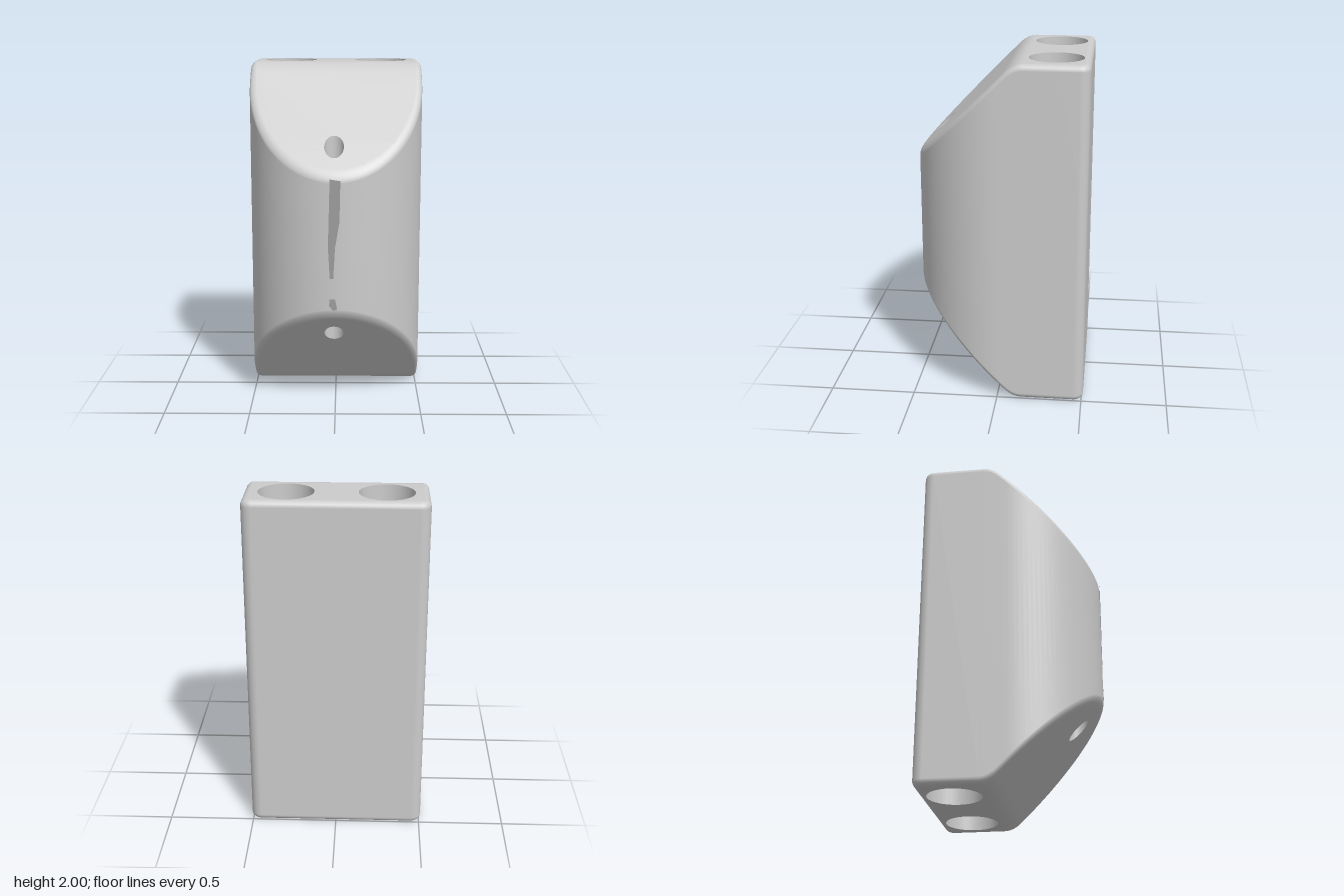
import * as THREE from 'three';
import { mergeVertices } from 'three/addons/utils/BufferGeometryUtils.js';

const R = 0.51;        // half width and front arc radius
const EDGE = 0.036;    // rounding of the end edges
const CORNER = 0.06;   // rounding of the rear vertical corners
const BEND = -0.09;    // z where the flat ends turn into 45 degree slopes
const SOFT = 0.05;     // half width of the softened bend
const BANDS = [-2, -1, 0, 1, 2].map(i => BEND + i * SOFT / 2);

// how far the end face has dropped at depth z
function drop(z) {
  const u = z - BEND;
  if (u <= -SOFT) return 0;
  return u >= SOFT ? u : (u + SOFT) ** 2 / (4 * SOFT);
}

// D-shaped outline in x, z, inset by d
function outline(d) {
  const pts = [], add = (x, z) => pts.push(new THREE.Vector2(x, z));
  const w = R - d, c = CORNER - d, k = R - CORNER;
  for (let i = 0; i <= 56; i++) {
    const a = Math.PI * i / 56;
    add(w * Math.cos(a), w * Math.sin(a));
  }
  [...BANDS].reverse().forEach(z => add(-w, z));
  for (const [sx, a0] of [[-1, Math.PI], [1, 1.5 * Math.PI]]) {
    for (let i = 0; i <= 6; i++) {
      const a = a0 + Math.PI / 2 * i / 6;
      add(sx * k + c * Math.cos(a), -k + c * Math.sin(a));
    }
  }
  BANDS.forEach(z => add(w, z));
  return pts;
}

function circle({ x, z, r }, n = 40) {
  return Array.from({ length: n }, (_, i) => {
    const a = 2 * Math.PI * i / n;
    return new THREE.Vector2(x + r * Math.cos(a), z + r * Math.sin(a));
  });
}

function toGeometry(positions) {
  let g = new THREE.BufferGeometry();
  g.setAttribute('position', new THREE.Float32BufferAttribute(positions, 3));
  g = mergeVertices(g, 1e-4);
  g.computeVertexNormals();
  return g;
}

function bodyGeometry(bigHoles, smallHole) {
  const out = [];
  const tri = (...v) => v.forEach(p => out.push(...p));
  const quad = (a, b, c, d) => { tri(a, b, c); tri(a, c, d); };

  // rings from the bottom edge rounding, up the wall, to the top edge rounding
  const steps = [0, 1, 2, 3, 4, 5].map(i => i / 5 * Math.PI / 2);
  const ring = (t, top) => outline(EDGE * (1 - Math.cos(t))).map(p => {
    const y = drop(p.y) + EDGE * (1 - Math.sin(t));
    return [p.x, top ? 2 - y : y, p.y];
  });
  const rings = [
    ...[...steps].reverse().map(t => ring(t, false)),
    ...steps.map(t => ring(t, true)),
  ];
  rings.sort((a, b) => a[0][1] - b[0][1]);
  for (let k = 0; k < rings.length - 1; k++) {
    const lo = rings[k], hi = rings[k + 1], n = lo.length;
    for (let i = 0; i < n; i++) {
      const j = (i + 1) % n;
      quad(lo[i], hi[i], hi[j], lo[j]);
    }
  }

  // end faces: pierced flat, softened bend, pierced slope
  const face = (contour, holes) => {
    const all = [contour, ...holes].flat();
    for (const f of THREE.ShapeUtils.triangulateShape(contour, holes)) {
      let [a, b, c] = f.map(i => all[i]);
      if ((b.x - a.x) * (c.y - a.y) - (b.y - a.y) * (c.x - a.x) > 0) [b, c] = [c, b];
      tri(...[a, b, c].map(p => [p.x, 2 - drop(p.y), p.y]));
      tri(...[a, c, b].map(p => [p.x, drop(p.y), p.y]));
    }
  };
  const inner = outline(EDGE), w = R - EDGE;
  face(inner.filter(p => p.y <= BANDS[0] + 1e-5), bigHoles.map(h => circle(h)));
  face(inner.filter(p => p.y >= BANDS[4] - 1e-5), [circle(smallHole)]);
  for (let i = 0; i < 4; i++) {
    const [z0, z1] = [BANDS[i], BANDS[i + 1]];
    face([[-w, z0], [w, z0], [w, z1], [-w, z1]].map(p => new THREE.Vector2(...p)), []);
  }
  return toGeometry(out);
}

// inner wall of a vertical through hole, cut to the end faces
function holeGeometry(hole) {
  const out = [], pts = circle(hole);
  pts.forEach((p, i) => {
    const q = pts[(i + 1) % pts.length];
    const a = [p.x, drop(p.y), p.y], b = [q.x, drop(q.y), q.y];
    const c = [q.x, 2 - drop(q.y), q.y], d = [p.x, 2 - drop(p.y), p.y];
    out.push(...a, ...b, ...c, ...a, ...c, ...d);
  });
  return toGeometry(out);
}

export function createModel() {
  const group = new THREE.Group();
  const grey = new THREE.MeshStandardMaterial({ color: 0xcccccc });
  grey.name = 'light grey';
  const dark = new THREE.MeshStandardMaterial({ color: 0x9e9e9e });
  dark.name = 'streak grey';
  const add = (name, geometry, material) => {
    const m = new THREE.Mesh(geometry, material);
    m.name = name;
    group.add(m);
    return m;
  };

  const bigHoles = [-1, 1].map(s => ({ x: s * 0.275, z: -0.313, r: 0.155 }));
  const smallHole = { x: -0.007, z: 0.36, r: 0.056 };
  add('body', bodyGeometry(bigHoles, smallHole), grey);
  add('rightBore', holeGeometry(bigHoles[0]), grey);
  add('leftBore', holeGeometry(bigHoles[1]), grey);
  add('frontBore', holeGeometry(smallHole), grey);

  // darker streak down the middle of the curved front
  const streaks = {
    longStreak: [[-0.03, 1.39], [-0.04, 1.0], [-0.03, 0.82], [-0.01, 0.82], [0, 1.0], [0.025, 1.15], [0.03, 1.38]],
    shortStreak: [[-0.03, 0.7], [-0.035, 0.66], [-0.01, 0.63], [0.012, 0.64], [0, 0.7]],
  };
  for (const [name, pts] of Object.entries(streaks)) {
    const shape = new THREE.Shape(pts.map(p => new THREE.Vector2(...p)));
    add(name, new THREE.ShapeGeometry(shape), dark).position.z = R + 0.002;
  }
  return group;
}
